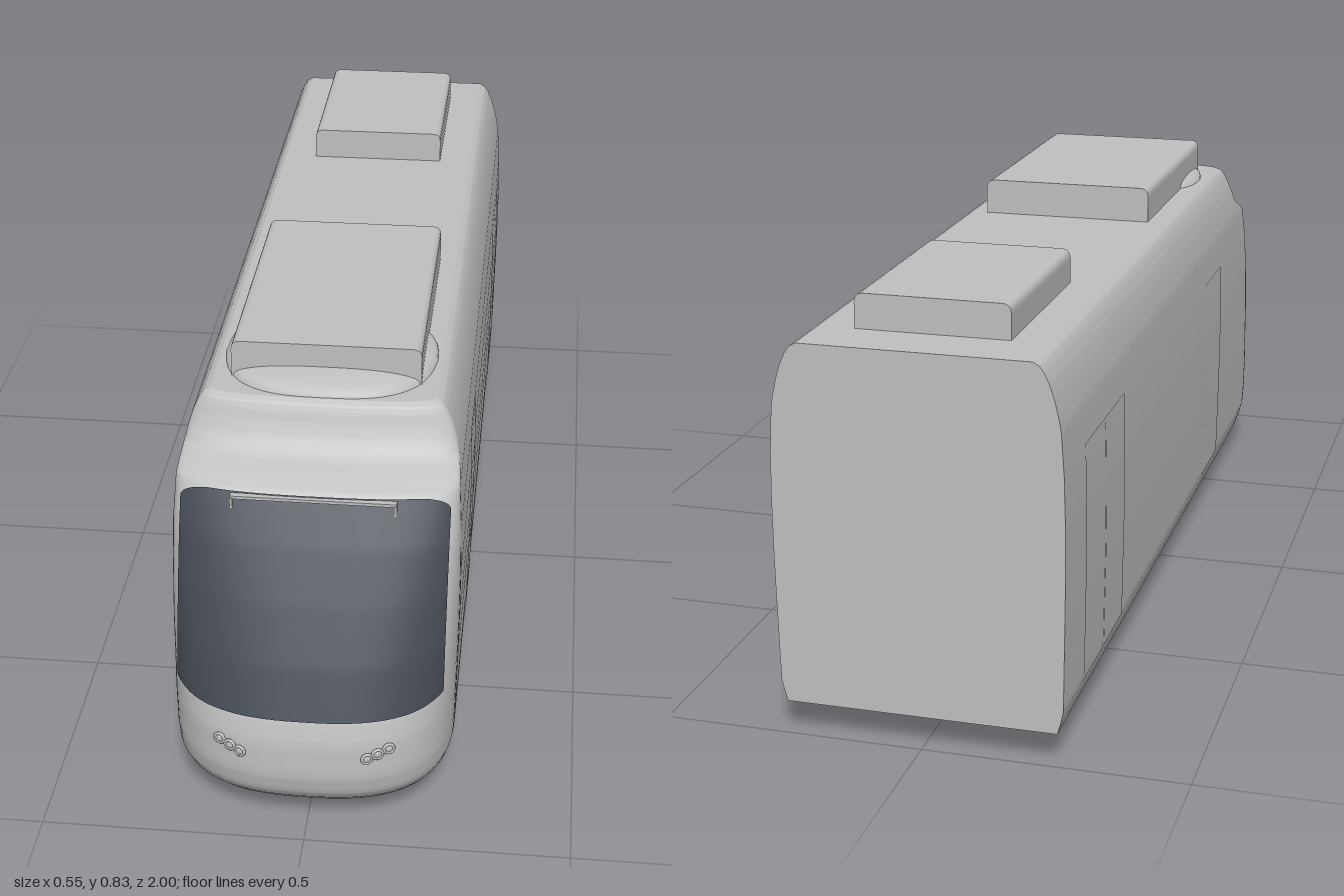
import * as THREE from 'three';

const paint = new THREE.MeshStandardMaterial({ color: 0xc0c0c0, side: THREE.DoubleSide });
paint.name = 'light grey paint';
const glass = new THREE.MeshStandardMaterial({ color: 0x444a53, side: THREE.DoubleSide });
glass.name = 'dark windscreen glass';

// Body levels: height, half width, nose z, depth of the nose rounding
const LEVELS = [
  [0.065, 0.256, 0.955, 0.24], [0.085, 0.262, 0.975, 0.245], [0.108, 0.267, 0.99, 0.25],
  [0.15, 0.268, 1.0, 0.25], [0.22, 0.269, 0.998, 0.25], [0.27, 0.27, 0.985, 0.245],
  [0.36, 0.271, 0.945, 0.2], [0.46, 0.271, 0.892, 0.15], [0.55, 0.269, 0.839, 0.1],
  [0.63, 0.264, 0.785, 0.06], [0.645, 0.262, 0.755, 0.055], [0.665, 0.258, 0.708, 0.05],
  [0.69, 0.252, 0.688, 0.045], [0.715, 0.244, 0.675, 0.04], [0.735, 0.235, 0.667, 0.035],
  [0.748, 0.226, 0.66, 0.03], [0.755, 0.214, 0.648, 0.03],
];
const BULGE = 2.6;
const BACK = -1;

function level(y) {
  let i = 0;
  while (i < LEVELS.length - 2 && y > LEVELS[i + 1][0]) i++;
  const a = LEVELS[i], b = LEVELS[i + 1];
  const t = THREE.MathUtils.clamp((y - a[0]) / (b[0] - a[0]), 0, 1);
  return [1, 2, 3].map((k) => a[k] + (b[k] - a[k]) * t);
}

// Plan outline at one height, from back right around the nose to back left
function outline(t, y) {
  const [w, f, d] = level(y);
  if (t < 0.1) return [-w, y, BACK + (f - d - BACK) * t * 10];
  if (t > 0.9) return [w, y, BACK + (f - d - BACK) * (1 - t) * 10];
  const a = Math.PI * (1 - (t - 0.1) / 0.8);
  const c = Math.cos(a), s = Math.max(0, Math.sin(a));
  return [w * Math.sign(c) * Math.abs(c) ** (2 / BULGE), y, f - d + d * s ** (2 / BULGE)];
}

// Nose surface at a given x and y, pushed out a little
function nose(x, y, out) {
  const [w, f, d] = level(y);
  const r = Math.min(1, Math.abs(x) / (w + out));
  return [x, y, f - d + (d + out) * (1 - r ** BULGE) ** (1 / BULGE)];
}

// Surface from a rule of u and v, facing along du x dv
function patch(name, material, nu, nv, rule) {
  const pos = [], index = [];
  for (let j = 0; j <= nv; j++) for (let i = 0; i <= nu; i++) pos.push(...rule(i / nu, j / nv));
  for (let j = 0; j < nv; j++) for (let i = 0; i < nu; i++) {
    const a = j * (nu + 1) + i, b = a + nu + 1;
    index.push(a, a + 1, b, a + 1, b + 1, b);
  }
  const geo = new THREE.BufferGeometry();
  geo.setAttribute('position', new THREE.Float32BufferAttribute(pos, 3));
  geo.setIndex(index);
  geo.computeVertexNormals();
  const mesh = new THREE.Mesh(geo, material);
  mesh.name = name;
  return mesh;
}

function part(name, geometry, x = 0, y = 0, z = 0, material = paint) {
  const mesh = new THREE.Mesh(geometry, material);
  mesh.name = name;
  mesh.position.set(x, y, z);
  return mesh;
}

// Roof box with rounded upper long edges
function roofUnit(name, halfWidth, top, zBack, zFront) {
  const base = 0.752, r = 0.018;
  const s = new THREE.Shape();
  s.moveTo(-halfWidth, base);
  s.lineTo(halfWidth, base);
  s.lineTo(halfWidth, top - r);
  s.quadraticCurveTo(halfWidth, top, halfWidth - r, top);
  s.lineTo(-halfWidth + r, top);
  s.quadraticCurveTo(-halfWidth, top, -halfWidth, top - r);
  const geo = new THREE.ExtrudeGeometry(s, { depth: zFront - zBack, bevelEnabled: false, curveSegments: 5 });
  return part(name, geo, 0, 0, zBack);
}

export function createModel() {
  const model = new THREE.Group();
  model.name = 'tram';

  // Body shell and its flat ends
  const steps = (LEVELS.length - 1) * 3;
  const bottom = LEVELS[0][0], top = LEVELS[LEVELS.length - 1][0];
  const rowY = (v) => {
    const k = v * (LEVELS.length - 1), i = Math.min(Math.floor(k + 1e-6), LEVELS.length - 2);
    return LEVELS[i][0] + (LEVELS[i + 1][0] - LEVELS[i][0]) * (k - i);
  };
  const cap = (y) => (u, v) => {
    const [x, , z] = outline(u / 2, y);
    return [x * (1 - 2 * v), y, z];
  };
  const floorRule = cap(bottom);
  model.add(
    patch('bodyShell', paint, 80, steps, (u, v) => outline(u, rowY(v))),
    patch('roof', paint, 40, 1, cap(top)),
    patch('floor', paint, 40, 1, (u, v) => floorRule(u, 1 - v)),
    patch('backWall', paint, 1, steps, (u, v) => {
      const y = rowY(v);
      return [level(y)[0] * (1 - 2 * u), y, BACK];
    }),
  );

  // Windscreen wrapped around the nose, with rounded upper corners
  model.add(patch('windscreen', glass, 48, 36, (u, v) => {
    const x = 0.25 * Math.sin((u - 0.5) * Math.PI);
    const edge = Math.max(0, (Math.abs(x) - 0.19) / 0.06);
    const yTop = 0.63 - 0.025 * (1 - Math.sqrt(Math.max(0, 1 - edge * edge)));
    const yLow = 0.27 + 0.005 * edge * edge;
    return nose(x, yLow + (yTop - yLow) * v, 0.004);
  }));

  // Thin frame at the top of the windscreen
  const frame = new THREE.Group();
  frame.name = 'signFrame';
  frame.add(part('signFrameBar', new THREE.BoxGeometry(0.306, 0.006, 0.012), 0, 0.625, 0.793));
  for (const s of [-1, 1]) {
    frame.add(part('signFrameEnd', new THREE.BoxGeometry(0.005, 0.02, 0.012), s * 0.151, 0.614, 0.795));
  }
  model.add(frame);

  // Headlights, three on each side
  for (const s of [-1, 1]) {
    for (const [x, y] of [[0.157, 0.211], [0.137, 0.203], [0.118, 0.195]]) {
      const light = new THREE.Group();
      light.name = 'headlight';
      light.position.set(...nose(s * x, y, 0.002));
      light.rotation.y = s * 0.35;
      light.add(part('headlightRim', new THREE.TorusGeometry(0.0095, 0.003, 8, 20)));
      const lens = part('headlightLens', new THREE.SphereGeometry(0.008, 14, 8));
      lens.scale.z = 0.5;
      light.add(lens);
      model.add(light);
    }
  }

  // Door leaves, nearly flush with the sides
  for (const s of [-1, 1]) {
    for (const [z0, z1] of [[0.24, 0.42], [-0.709, -0.56], [-0.86, -0.711]]) {
      model.add(patch('doorLeaf', paint, 1, 16, (u, v) => {
        const y = 0.107 + 0.458 * v;
        return [s * (level(y)[0] + 0.0015), y, s > 0 ? z1 + (z0 - z1) * u : z0 + (z1 - z0) * u];
      }));
    }
  }

  // Roof equipment and the smooth fairing under the front unit
  model.add(
    roofUnit('frontRoofUnit', 0.18, 0.828, 0.03, 0.575),
    roofUnit('rearRoofUnit', 0.145, 0.821, -0.89, -0.49),
    patch('roofFairing', paint, 48, 10, (u, v) => {
      const a = -u * Math.PI * 2, r = Math.cos(v * Math.PI / 2);
      const c = Math.cos(a), n = Math.sin(a);
      const z = Math.sign(n) * Math.abs(n) ** 0.7 * r;
      const w = 0.205 - 0.02 * Math.max(0, z);
      return [w * Math.sign(c) * Math.abs(c) ** 0.7 * r, 0.753 + 0.034 * Math.sin(v * Math.PI / 2) ** 0.8, 0.48 + 0.165 * z];
    }),
  );

  // Wheels with inner flanges, axles and side rails
  const tread = new THREE.CylinderGeometry(0.058, 0.06, 0.024, 32).rotateZ(-Math.PI / 2);
  const flange = new THREE.CylinderGeometry(0.065, 0.065, 0.007, 32).rotateZ(Math.PI / 2);
  for (const z of [0.015, -0.395]) {
    for (const s of [-1, 1]) {
      const wheel = new THREE.Group();
      wheel.name = 'wheel';
      wheel.position.set(s * 0.171, 0.065, z);
      wheel.rotation.y = s > 0 ? 0 : Math.PI;
      wheel.add(part('wheelTread', tread), part('wheelFlange', flange, -0.007));
      model.add(wheel);
    }
    model.add(part('axle', new THREE.CylinderGeometry(0.006, 0.006, 0.32, 12).rotateZ(Math.PI / 2), 0, 0.065, z));
  }
  for (const s of [-1, 1]) {
    model.add(part('bogieRail', new THREE.BoxGeometry(0.006, 0.008, 0.41), s * 0.15, 0.065, -0.19));
  }
  return model;
}
